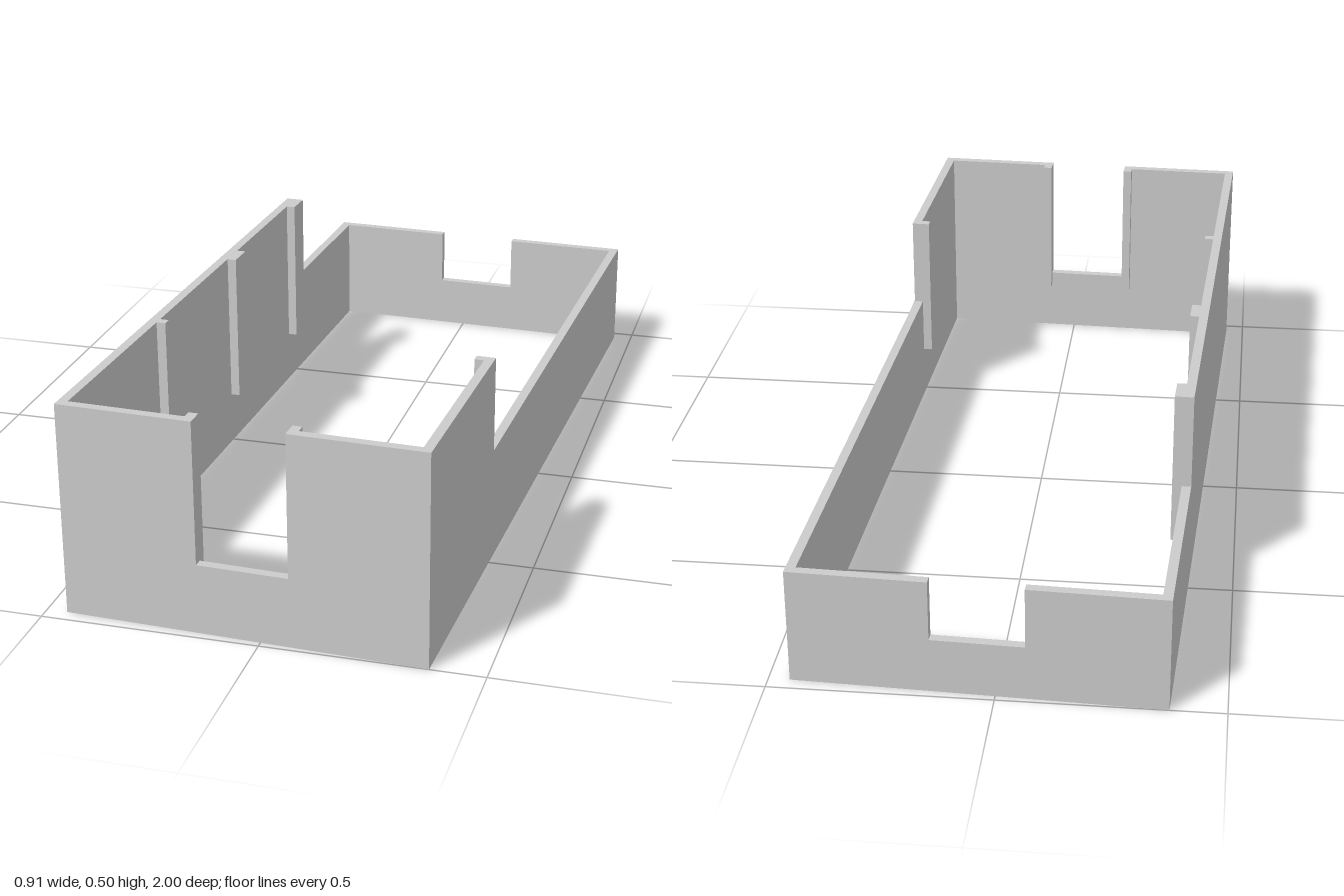
import * as THREE from 'three';

const W = 0.829, L = 1.969;    // outer width and length
const T = 0.022;               // wall thickness, also the depth and width of a thin rib
const HIGH = 0.5, LOW = 0.273; // tall and low rim
const GAP = 0.104;             // half width of the end notches
const RIB_BASE = 0.13;         // underside of the ribs

export function createModel() {
  const model = new THREE.Group();
  model.name = 'enclosureFrame';
  const frame = new THREE.Group();
  frame.name = 'frame';
  frame.rotation.y = -0.0391; // the frame stands slightly turned
  model.add(frame);
  const material = new THREE.MeshStandardMaterial({ color: 0xcccccc, flatShading: true });

  const add = (name, geometry) => {
    const mesh = new THREE.Mesh(geometry, material);
    mesh.name = name;
    frame.add(mesh);
    return mesh;
  };
  const slab = (points) => new THREE.ExtrudeGeometry(
    new THREE.Shape(points.map(([u, y]) => new THREE.Vector2(u, y))),
    { depth: T, bevelEnabled: false });

  // Side walls: tall from the front to the step, low behind it
  const sideWall = (name, outerX, step) => {
    const geometry = slab([[-L / 2, 0], [L / 2, 0], [L / 2, HIGH], [step, HIGH], [step, LOW], [-L / 2, LOW]]);
    geometry.rotateY(-Math.PI / 2); // profile runs along z, thickness towards -x
    add(name, geometry).position.x = outerX;
  };
  sideWall('leftWall', W / 2, 0.459);
  sideWall('rightWall', -W / 2 + T, -0.489);

  // End walls with a central notch
  const endWall = (name, z, height, notch) => {
    const w = W / 2 - T;
    add(name, slab([[-w, 0], [w, 0], [w, height], [GAP, height], [GAP, notch],
      [-GAP, notch], [-GAP, height], [-w, height]])).position.z = z;
  };
  endWall('frontWall', L / 2 - T, HIGH, 0.165);
  endWall('backWall', -L / 2, LOW, RIB_BASE);

  // Vertical ribs standing on the inner faces
  const rib = (name, x0, x1, z0, z1) => {
    add(name, new THREE.BoxGeometry(x1 - x0, HIGH - RIB_BASE, z1 - z0))
      .position.set((x0 + x1) / 2, (HIGH + RIB_BASE) / 2, (z0 + z1) / 2);
  };
  const ix = W / 2 - T, iz = L / 2 - T;
  rib('leftRib', ix - T, ix, 0.459, 0.481);
  [[0.459, 0.481], [-0.045, 0.023], [-0.489, -0.421]].forEach(([z0, z1], i) =>
    rib(`rightRib${i + 1}`, -ix, -ix + T, z0, z1));
  rib('frontRibLeft', GAP, GAP + T, iz - T, iz);
  rib('frontRibRight', -GAP - T, -GAP, iz - T, iz);

  return model;
}
